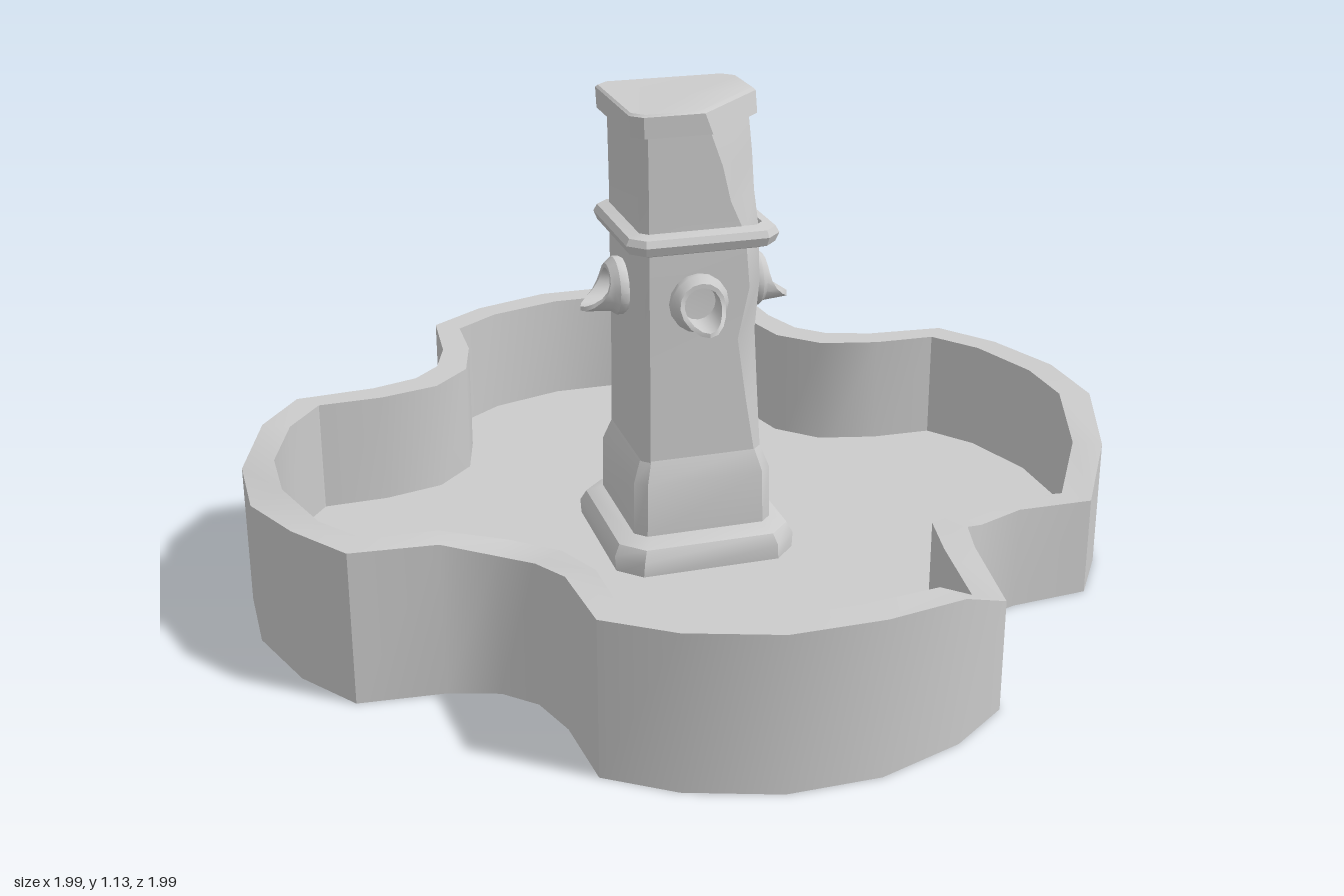
import * as THREE from 'three';
import { toCreasedNormals } from 'three/addons/utils/BufferGeometryUtils.js';

const stone = new THREE.MeshStandardMaterial({ color: 0xcccccc, side: THREE.DoubleSide });

// Joins equal columns of points into a closed ring; closed also joins each column's ends
function loft(name, columns, closed = false, crease = 0.6) {
  const n = columns.length, m = columns[0].length, index = [];
  for (let i = 0; i < n; i++) {
    for (let j = 0; j < (closed ? m : m - 1); j++) {
      const a = i * m + j, b = i * m + (j + 1) % m;
      const c = ((i + 1) % n) * m + j, d = ((i + 1) % n) * m + (j + 1) % m;
      index.push(a, c, d, a, d, b);
    }
  }
  const geo = new THREE.BufferGeometry();
  geo.setAttribute('position', new THREE.Float32BufferAttribute(columns.flat(2), 3));
  geo.setIndex(index);
  const mesh = new THREE.Mesh(toCreasedNormals(geo, crease), stone);
  mesh.name = name;
  return mesh;
}

// Quarter turns about y, from the front towards +x
const turn = ([x, z], k) => [[x, z], [z, -x], [-x, -z], [-z, x]][k];

// Mirrors half of a quarter outline across its diagonal, then turns it four times
function quatrefoil(half) {
  const quarter = [...half, ...half.map(([x, z]) => [z, x]).reverse()];
  return [0, 1, 2, 3].flatMap(k => quarter.map(p => turn(p, k)));
}

// Square block with chamfered corners; levels are [y, half width, chamfer, broken corner]
function block(name, levels) {
  const columns = [];
  for (let k = 0; k < 4; k++) {
    for (const side of [0, 1]) {
      columns.push(levels.map(([y, h, c, broken = c]) => {
        const cut = k === 0 ? broken : c;
        const [x, z] = turn(side ? [h, h - cut] : [h - cut, h], k);
        return [x, y, z];
      }));
    }
  }
  return loft(name, columns);
}

function createBasin() {
  const basin = new THREE.Group();
  basin.name = 'basin';
  const outer = quatrefoil([[0.1, 0.995], [0.29, 0.93], [0.425, 0.835], [0.44, 0.65], [0.475, 0.54]]);
  const inner = quatrefoil([[0.08, 0.925], [0.26, 0.87], [0.37, 0.79], [0.375, 0.64], [0.41, 0.5]]);

  // Rim heights, worn away at the front corner on the +x side
  const top = outer.map(() => 0.345);
  [0.345, 0.325, 0.25, 0.28, 0.27, 0.235, 0.24, 0.23, 0.3, 0.345].forEach((y, i) => { top[i] = y; });
  top[34] = 0.32;
  top[35] = 0.325;
  const outerTop = top.slice();
  outerTop[29] = outerTop[30] = 0.325;

  basin.add(loft('basinWall', outer.map(([x, z], i) => {
    const [u, w] = inner[i];
    return [[x, 0, z], [x, outerTop[i], z], [u, top[i], w], [u, 0, w]];
  }), true));

  // Raised floor
  const shape = new THREE.Shape(inner.map(([x, z]) => new THREE.Vector2(x, -z)));
  const floor = new THREE.Mesh(new THREE.ShapeGeometry(shape), stone);
  floor.name = 'basinFloor';
  floor.rotation.x = -Math.PI / 2;
  floor.position.y = 0.08;
  basin.add(floor);
  return basin;
}

// Round spout along +z, with its lower lip drawn out
function createSpout() {
  const columns = [];
  for (let i = 0; i < 16; i++) {
    const a = (i / 16) * Math.PI * 2;
    const low = (1 - Math.sin(a)) / 2;
    const end = 0.042 + 0.06 * low ** 3;
    const profile = [[0, 0.06], [0.01, 0.066], [0.025, 0.066], [0.036, 0.057],
      [end, 0.052], [end, 0.042], [0.012, 0.04], [0.01, 0]];
    columns.push(profile.map(([d, r]) => [r * Math.cos(a), r * Math.sin(a), d]));
  }
  return loft('spout', columns);
}

function createPillar() {
  const pillar = new THREE.Group();
  pillar.name = 'pillar';
  pillar.add(
    block('plinth', [[0.075, 0, 0], [0.075, 0.21, 0.05], [0.115, 0.213, 0.055],
      [0.14, 0.2, 0.05], [0.155, 0.17, 0.04], [0.155, 0, 0]]),
    block('foot', [[0.15, 0.162, 0.025], [0.28, 0.16, 0.025], [0.33, 0.142, 0.02]]),
    // Shaft, its front corner chipped ever deeper towards the top
    block('shaft', [[0.32, 0.142, 0.018, 0.02], [0.45, 0.141, 0.018, 0.04], [0.6, 0.14, 0.018, 0.06],
      [0.72, 0.141, 0.018, 0.035], [0.84, 0.141, 0.018, 0.045], [0.92, 0.141, 0.018, 0.08],
      [1.0, 0.142, 0.018, 0.1], [1.08, 0.143, 0.018, 0.13], [1.09, 0, 0]]),
    block('collar', [[0.81, 0.14, 0.02], [0.82, 0.166, 0.03], [0.84, 0.174, 0.035],
      [0.855, 0.166, 0.03], [0.862, 0.14, 0.02]]),
    block('cap', [[1.078, 0.13, 0.02, 0.11], [1.078, 0.163, 0.025, 0.15],
      [1.125, 0.165, 0.025, 0.17], [1.13, 0.16, 0.025, 0.175], [1.125, 0, 0]])
  );
  // One spout on each face
  for (let k = 0; k < 4; k++) {
    const side = new THREE.Group();
    side.name = 'spoutSide';
    side.rotation.y = k * Math.PI / 2;
    const spout = createSpout();
    spout.position.set(-0.015, 0.7, 0.137);
    side.add(spout);
    pillar.add(side);
  }
  pillar.position.x = 0.005;
  return pillar;
}

export function createModel() {
  const fountain = new THREE.Group();
  fountain.name = 'fountain';
  fountain.add(createBasin(), createPillar());
  return fountain;
}
